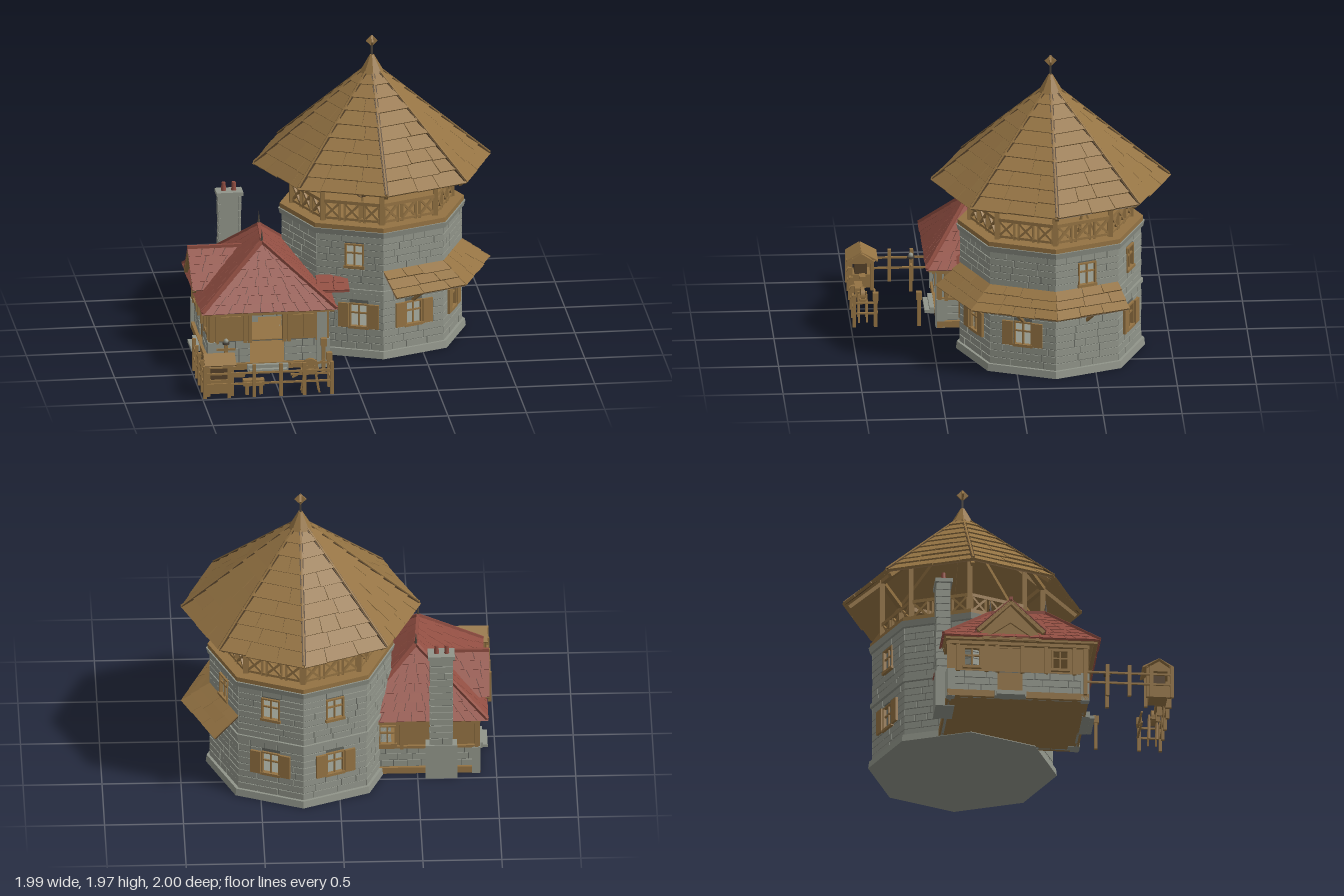
import * as THREE from 'three';
import { mergeGeometries } from 'three/addons/utils/BufferGeometryUtils.js';

const mat = (name, color) => Object.assign(new THREE.MeshStandardMaterial({ color }), { name });
const wood = mat('wood', 0x947343), darkWood = mat('dark wood', 0x56422a);
const stone = mat('stone', 0x91958a), mortar = mat('mortar', 0x62655e);
const tile = mat('red tile', 0x914e42), darkTile = mat('dark red tile', 0x55291f);
const iron = mat('iron', 0x48423a);

let seed = 7;
const rnd = (a = 0, b = 1) => { seed = (seed * 16807) % 2147483647; return a + (b - a) * seed / 2147483647; };
const V = (x, y, z) => new THREE.Vector3(x, y, z);
const mix = (a, b, t) => a.clone().lerp(b, t);

// Merge a list of geometries into one named mesh
function part(parent, name, material, geos) {
  const clean = geos.map(g => { const n = g.index ? g.toNonIndexed() : g; n.deleteAttribute('uv'); return n; });
  const mesh = new THREE.Mesh(mergeGeometries(clean), material);
  mesh.name = name;
  parent.add(mesh);
  return mesh;
}
const box = (x0, x1, y0, y1, z0, z1) =>
  new THREE.BoxGeometry(x1 - x0, y1 - y0, z1 - z0).translate((x0 + x1) / 2, (y0 + y1) / 2, (z0 + z1) / 2);
const upright = (p, w, y0, y1) => box(p.x - w / 2, p.x + w / 2, y0, y1, p.z - w / 2, p.z + w / 2);
// Square beam between two points
function beam(p, q, w = 0.02, d = w) {
  const m = new THREE.Object3D();
  m.position.copy(mix(p, q, 0.5)); m.lookAt(q); m.updateMatrix();
  return new THREE.BoxGeometry(w, d, p.distanceTo(q)).applyMatrix4(m.matrix);
}
const octagon = (rTop, rBottom, y0, y1) =>
  new THREE.CylinderGeometry(rTop, rBottom, y1 - y0, 8).toNonIndexed().translate(0, (y0 + y1) / 2, 0);
const flat = g => { g.computeVertexNormals(); return g; };
function quads(list) {
  const g = new THREE.BufferGeometry().setFromPoints(list.flatMap(([a, b, c, d]) => [a, b, c, a, c, d]));
  return flat(g);
}

// Roof slope: eave a-b, top c-d, overlapping courses of boards over a dark layer, wooden lining below
function slope(parent, name, top, under, [a, b, c, d], rows, width, lift) {
  const n = b.clone().sub(a).cross(mix(c, d, 0.5).sub(a)).normalize();
  const up = (p, h) => p.clone().addScaledVector(n, h);
  const boards = [];
  for (let r = 0; r < rows; r++) {
    const t0 = r / rows, t1 = Math.min(1, (r + 1.1) / rows);
    const len = mix(a, d, t0).distanceTo(mix(b, c, t0)), gap = 0.004 / len;
    for (let u = 0; u < 0.999;) {
      let e = u + rnd(0.65, 1.35) * width / len;
      if (e > 1 - 0.4 * width / len) e = 1;
      const at = (s, t) => mix(mix(a, d, t), mix(b, c, t), s);
      const low = t0 - rnd(0, 0.1) / rows, h = lift * rnd(0.85, 1.15), end = e === 1 ? 1 : e - gap;
      const [A, B, C, D] = [at(u, low), at(end, low), at(end, t1), at(u, t1)];
      const [A2, B2, C2, D2] = [up(A, h), up(B, h), up(C, 0.003), up(D, 0.003)];
      boards.push([A2, B2, C2, D2], [A, B, B2, A2], [B, C, C2, B2], [D, A, A2, D2], [D, C, B, A]);
      u = e;
    }
  }
  part(parent, name, top, [quads(boards)]);
  part(parent, name + ' underlay', under, [quads([[a, b, c, d].map(p => up(p, -0.008))])]);
  part(parent, name + ' lining', wood, [quads([[d, c, b, a].map(p => up(p, -0.01))])]);
}

// Flat wall in its own frame (outside faces local +z) with openings [x0, x1, y0, y1]
function panel(parent, name, material, x0, x1, y0, y1, holes) {
  const s = new THREE.Shape([[x0, y0], [x1, y0], [x1, y1], [x0, y1]].map(p => new THREE.Vector2(...p)));
  for (const [a, b, c, d] of holes)
    s.holes.push(new THREE.Path([[a, c], [a, d], [b, d], [b, c]].map(p => new THREE.Vector2(...p))));
  return part(parent, name, material, [new THREE.ShapeGeometry(s)]);
}
// Rows of irregular stones that stop at the openings
function masonry(parent, x0, x1, y0, y1, holes, rowHeight = 0.046) {
  const rows = Math.round((y1 - y0) / rowHeight), h = (y1 - y0) / rows, list = [];
  for (let r = 0; r < rows; r++) {
    const lo = y0 + r * h, hi = lo + h;
    const cut = holes.filter(k => k[2] < hi - 0.01 && k[3] > lo + 0.01).sort((p, q) => p[0] - q[0]);
    const starts = [x0, ...cut.map(k => k[1])], ends = [...cut.map(k => k[0]), x1];
    starts.forEach((s, i) => {
      for (let x = s; x < ends[i] - 0.005;) {
        let e = x + rnd(0.07, 0.18);
        if (e > ends[i] - 0.04) e = ends[i];
        list.push(box(x, e === ends[i] ? e : e - 0.005, lo, hi - 0.005, -0.01, rnd(0.004, 0.008)));
        x = e;
      }
    });
  }
  part(parent, 'wall stones', stone, list);
}
// Frame, glazing bars and optional shutters round an opening
function windowFrame(parent, [x0, x1, y0, y1], shutters) {
  const t = 0.01, cx = (x0 + x1) / 2, cy = y0 + (y1 - y0) * 0.6, list = [
    box(x0, x0 + t, y0, y1, -0.01, 0.014), box(x1 - t, x1, y0, y1, -0.01, 0.014),
    box(x0 - 0.005, x1 + 0.005, y0 - 0.008, y0 + t, -0.01, 0.02), box(x0, x1, y1 - t, y1, -0.01, 0.014),
    box(cx - 0.005, cx + 0.005, y0, y1, -0.005, 0.006), box(x0, x1, cy - 0.005, cy + 0.005, -0.005, 0.006)];
  if (shutters) for (const s of [-1, 1]) {
    const c = cx + s * ((x1 - x0) / 2 + 0.037);
    list.push(box(c - 0.034, c + 0.034, y0, y1, 0.008, 0.024));
  }
  part(parent, 'window', wood, list);
}
function frame(parent, name, x, z, angle) {
  const g = new THREE.Group();
  g.name = name; g.position.set(x, 0, z); g.rotation.y = angle;
  parent.add(g);
  return g;
}

function buildTower(root) {
  const tower = frame(root, 'tower', 0.235, -0.24, 0);
  const P = (i, r, y) => V(r * Math.sin(i * Math.PI / 4), y, r * Math.cos(i * Math.PI / 4));
  const R = 0.568, half = R * Math.sin(Math.PI / 8), apo = R * Math.cos(Math.PI / 8), corner = half + 0.003;
  part(tower, 'stone courses', stone, [octagon(0.594, 0.6, 0.008, 0.055), octagon(0.588, 0.588, 0.43, 0.455),
    octagon(0.598, 0.588, 0.81, 0.848)].map(flat));
  part(tower, 'deck', wood, [flat(octagon(0.588, 0.588, 0.848, 0.878))]);
  const lower = { 0: 0, 1: 0, 3: 0, 4: 0, 7: 0.06 }, upper = { 2: 0, 3: 0, 4: 0, 7: 0.03 };
  for (let i = 0; i < 8; i++) {
    const angle = (i + 0.5) * Math.PI / 4, s = Math.sin(angle), c = Math.cos(angle), holes = [];
    const wall = frame(tower, 'tower wall', apo * s, apo * c, angle);
    if (i in lower) holes.push([lower[i] - 0.062, lower[i] + 0.062, 0.2, 0.36]);
    if (i in upper) holes.push([upper[i] - 0.062, upper[i] + 0.062, 0.6, 0.755]);
    panel(wall, 'mortar', mortar, -half, half, 0.05, 0.82, holes);
    masonry(wall, -corner, corner, 0.055, 0.43, holes);
    masonry(wall, -corner, corner, 0.455, 0.81, holes);
    holes.forEach(h => windowFrame(wall, h, h[2] < 0.5));

    // Railing bay with crossed laths
    const a = P(i, 0.51, 0), b = P(i + 1, 0.51, 0), at = (u, y) => mix(a, b, u).setY(y), rail = [];
    rail.push(beam(at(0, 1.008), at(1, 1.008), 0.022), beam(at(0, 0.897), at(1, 0.897), 0.016));
    rail.push(beam(at(0, 1.31), at(1, 1.31), 0.03), upright(a, 0.03, 0.87, 1.33));
    for (let k = 0; k < 3; k++) {
      const u = k / 3 + 0.04, v = u + 0.253;
      rail.push(beam(at(u, 0.9), at(v, 1.0), 0.014), beam(at(v, 0.9), at(u, 1.0), 0.014));
      rail.push(upright(at(u, 0), 0.015, 0.88, 1.01), upright(at(v, 0), 0.015, 0.88, 1.01));
    }
    // Rafter and hip board on a dark strip
    rail.push(beam(P(i, 0.1, 1.65), P(i, 0.72, 1.125), 0.024), beam(P(i, 0.06, 1.742), P(i, 0.752, 1.157), 0.01, 0.02));
    part(tower, 'railing and roof frame', wood, rail);
    part(tower, 'hip strip', darkWood, [beam(P(i, 0.06, 1.737), P(i, 0.748, 1.154), 0.024, 0.016)]);
    slope(tower, 'tower roof boards', wood, darkWood, [P(i, 0.748, 1.145), P(i + 1, 0.748, 1.145),
      P(i + 1, 0.05, 1.748), P(i, 0.05, 1.748)], 9, 0.19, 0.014);
  }
  part(tower, 'roof cap', wood, [flat(octagon(0.014, 0.085, 1.72, 1.845))]);
  part(tower, 'finial rod', iron, [box(-0.006, 0.006, 1.83, 1.91, -0.006, 0.006)]);
  const plate = () => new THREE.BoxGeometry(0.053, 0.053, 0.012).rotateZ(Math.PI / 4);
  part(tower, 'finial', wood, [plate(), plate().rotateY(Math.PI / 2)].map(g => g.translate(0, 1.937, 0)));

  // Skirt roof over three sides, square cut at both ends
  const off = (i, p, d) => p.add(V(d * Math.sin((i + 0.5) * Math.PI / 4), 0, d * Math.cos((i + 0.5) * Math.PI / 4)));
  for (let i = 0; i < 3; i++) {
    const a = i === 0 ? off(0, P(0, R, 0.455), 0.168) : P(i, 0.748, 0.455);
    const b = i === 2 ? off(2, P(3, R, 0.455), 0.168) : P(i + 1, 0.748, 0.455);
    slope(tower, 'skirt roof boards', wood, darkWood, [a, b, P(i + 1, R, 0.586), P(i, R, 0.586)], 3, 0.15, 0.013);
    const foot = mix(P(i, R, 0.36), P(i + 1, R, 0.36), 0.5);
    part(tower, 'skirt roof strut', wood, [beam(foot, off(i, foot.clone().setY(0.455), 0.13), 0.018)]);
  }

  // Instruments on the deck
  part(root, 'spyglass', darkWood, [beam(V(0.49, 1.03, -0.375), V(0.55, 1.075, -0.44), 0.02),
    beam(V(0.54, 1.068, -0.43), V(0.595, 1.11, -0.5), 0.028)]);
  part(root, 'spyglass stand', wood, [[0.5, -0.4], [0.58, -0.4], [0.54, -0.51]].map(([x, z]) =>
    beam(V(0.535, 1.05, -0.43), V(x, 0.87, z), 0.012)));
  const ring = () => new THREE.TorusGeometry(0.042, 0.003, 5, 20);
  part(root, 'armillary rings', darkWood, [ring(), ring().rotateY(Math.PI / 2), box(-0.002, 0.002, -0.05, 0.05, -0.002, 0.002),
    box(-0.05, 0.05, -0.002, 0.002, -0.002, 0.002), box(-0.002, 0.002, -0.002, 0.002, -0.05, 0.05),
    new THREE.SphereGeometry(0.008, 8, 6)].map(g => g.translate(0.128, 1.06, 0.12)));
  part(root, 'armillary stand', wood, [upright(V(0.128, 0, 0.12), 0.014, 0.87, 1.015)]);
}

function buildHouse(root) {
  const house = frame(root, 'house', 0, 0, 0);
  part(house, 'floor', wood, [box(-0.9, -0.12, 0.012, 0.055, -0.44, 0.46)]);
  // Walls: [name, x, z, angle, half width, door, window centres, open windows]
  const rows = [['front wall', -0.51, 0.44, 0, 0.365, [-0.12, 0.1], [-0.24, 0.22], false],
    ['side wall', -0.875, 0.01, -Math.PI / 2, 0.43, [-0.13, 0.03], [-0.29, 0.27], true],
    ['back wall', -0.51, -0.42, Math.PI, 0.365, null, [-0.2], true],
    ['inner wall', -0.145, 0.31, Math.PI / 2, 0.13, null, [0], false]];
  for (const [name, x, z, angle, w, door, wins, open] of rows) {
    const g = frame(house, name, x, z, angle);
    const spots = wins.map(c => [c - 0.055, c + 0.055, 0.22, 0.36]), holes = open ? spots : [];
    const gap = door ? [[...door, 0.055, 0.195]] : [], tall = door ? [[...door, 0.205, 0.365]] : [];
    panel(g, 'plinth mortar', mortar, -w, w, 0.01, 0.2, gap);
    masonry(g, -w, w, 0.012, 0.2, gap);
    panel(g, 'timber wall', wood, -w, w, 0.2, 0.4, [...holes, ...tall]);
    const bars = [box(-w - 0.01, w + 0.01, 0.375, 0.4, -0.02, 0.025)];
    if (!door) bars.push(box(-w, w, 0.195, 0.212, -0.01, 0.018));
    const posts = [-w, w, ...wins.flatMap(c => [c - 0.09, c + 0.09]), ...(door || [])];
    posts.forEach(p => bars.push(box(p - 0.012, p + 0.012, 0.19, 0.4, -0.015, 0.02)));
    if (!open) for (const c of wins) for (const s of [-0.034, 0.034])
      bars.push(box(c + s - 0.031, c + s + 0.031, 0.215, 0.365, 0, 0.012));
    part(g, 'timber frame', wood, bars);
    part(g, 'corner stones', stone, [-w, w].map(p => box(p - 0.025, p + 0.025, 0.01, 0.2, -0.03, 0.02)));
    holes.forEach(h => windowFrame(g, h, false));
    if (door) part(g, 'doorstep', stone, [box(door[0] - 0.02, door[1] + 0.02, 0.01, 0.05, 0, 0.05),
      box(door[0] - 0.01, door[1] + 0.01, 0.008, 0.028, 0.05, 0.08)]);
    if (name === 'side wall') part(g, 'door', wood, [box(...door, 0.055, 0.365, -0.02, -0.005)]);
  }
  part(house, 'corner pillar', stone, [box(-0.205, -0.14, 0.01, 0.385, 0.39, 0.467)]);
  part(house, 'eave boards', wood, [box(-0.925, -0.1, 0.396, 0.41, 0.49, 0.512), box(-0.925, -0.9, 0.396, 0.41, -0.45, 0.5),
    box(-0.925, -0.12, 0.396, 0.41, -0.45, -0.43), box(-0.122, -0.1, 0.396, 0.41, 0.2, 0.5)]);

  // Hipped roof
  const E = (x, z) => V(x, 0.414, z);
  const FL = E(-0.942, 0.525), FR = E(-0.085, 0.525), BR = E(-0.085, -0.468), BL = E(-0.942, -0.468);
  const F = V(-0.525, 0.775, 0.22), B = V(-0.5, 0.775, -0.13);
  for (const c of [[FL, FR, F, F], [BL, FL, F, B], [FR, BR, B, F], [BR, BL, B, B]])
    slope(house, 'house roof tiles', tile, darkTile, c, 8, 0.085, 0.006);
  // Cross gable over the side door
  const top0 = V(-0.967, 0.667, -0.04), top1 = V(-0.61, 0.667, -0.04);
  const eave = z => [V(-0.962, 0.46, z), V(-0.85, 0.46, z)];
  slope(house, 'gable roof tiles', tile, darkTile, [...eave(0.18), top1, top0], 5, 0.09, 0.006);
  slope(house, 'gable roof tiles', tile, darkTile, [...eave(-0.26).reverse(), top0, top1], 5, 0.09, 0.006);
  part(house, 'ridge tiles', tile, [[FL, F], [FR, F], [BL, B], [BR, B], [F, B], [top0, top1]].map(([p, q]) =>
    beam(p.clone().setY(p.y + 0.008), q.clone().setY(q.y + 0.008), 0.02)));
  const gable = new THREE.Shape([V(-0.2, 0.4), V(0.2, 0.4), V(0.19, 0.45), V(0, 0.65), V(-0.19, 0.45)]);
  part(house, 'gable wall', wood, [new THREE.ShapeGeometry(gable).rotateY(-Math.PI / 2).translate(-0.9, 0, -0.04)]);
  part(house, 'gable truss', wood, [-1, 1].flatMap(s => [beam(V(-0.95, 0.445, -0.04 + s * 0.21), V(-0.95, 0.65, -0.04), 0.024),
    beam(V(-0.92, 0.41, -0.04 + s * 0.17), V(-0.92, 0.53, -0.04), 0.016)])
    .concat(beam(V(-0.92, 0.41, -0.22), V(-0.92, 0.41, 0.14), 0.024)));
  // Small link roof against the tower
  slope(house, 'link roof tiles', tile, darkTile, [V(-0.18, 0.475, 0.33), V(0.02, 0.475, 0.33), V(0.02, 0.535, 0.2),
    V(-0.18, 0.535, 0.2)], 2, 0.1, 0.006);
  part(house, 'link roof edge', tile, [box(-0.18, 0.02, 0.458, 0.474, 0.2, 0.33)]);
  part(house, 'ridge spikes', iron, [F, B].map(p => new THREE.ConeGeometry(0.013, 0.11, 6).translate(p.x, 0.815, p.z)));

  // Chimney and hearth
  part(house, 'chimney', stone, [box(-0.715, -0.585, 0.2, 0.88, -0.485, -0.405), box(-0.735, -0.565, 0.88, 0.905, -0.5, -0.39),
    box(-0.75, -0.55, 0.008, 0.25, -0.5, -0.38), box(-0.73, -0.48, 0.055, 0.38, -0.4, -0.33)]);
  for (const [x, z, angle, w] of [[-0.65, -0.487, Math.PI, 0.067], [-0.717, -0.445, -Math.PI / 2, 0.042], [-0.583, -0.445, Math.PI / 2, 0.042]]) {
    const g = frame(house, 'chimney side', x, z, angle);
    panel(g, 'chimney mortar', mortar, -w, w, 0.25, 0.88, []);
    masonry(g, -w, w, 0.25, 0.88, [], 0.05);
  }
  part(house, 'chimney pots', tile, [-0.685, -0.62].map(x => new THREE.CylinderGeometry(0.013, 0.017, 0.06, 10).translate(x, 0.93, -0.445)));
}

function buildYard(root) {
  const yard = frame(root, 'yard', 0, 0, 0), list = [];
  const post = (x, z, h = 0.225) => list.push(upright(V(x, 0, z), 0.022, 0.01, h));
  [-0.985, -0.83, -0.67, -0.5, -0.35, -0.175].forEach(x => post(x, 0.98));
  [0.43, 0.57, 0.71, 0.85].forEach(z => post(-0.985, z));
  for (const y of [0.1, 0.17]) list.push(beam(V(-0.985, y, 0.98), V(-0.175, y, 0.98), 0.012),
    beam(V(-0.985, y, 0.43), V(-0.985, y, 0.98), 0.012), beam(V(-0.175, y, 0.84), V(-0.175, y, 0.98), 0.012),
    beam(V(-0.42, y, 0.84), V(-0.18, y, 0.835), 0.012));
  list.push(beam(V(-0.41, 0.08, 0.84), V(-0.2, 0.19, 0.84), 0.01));
  for (const z of [0.57, 0.845]) { post(-0.175, z, 0.24); list.push(upright(V(-0.175, 0, z), 0.036, 0.19, 0.24)); }
  part(yard, 'fence', wood, list);

  // Small open shelter with bench and trough
  const [r0, r1] = [V(-0.985, 0.282, 0.9), V(-0.785, 0.282, 0.9)];
  slope(yard, 'shelter roof', wood, wood, [V(-0.985, 0.222, 0.985), V(-0.785, 0.222, 0.985), r1, r0], 1, 1, 0.01);
  slope(yard, 'shelter roof', wood, wood, [V(-0.785, 0.222, 0.808), V(-0.985, 0.222, 0.808), r0, r1], 1, 1, 0.01);
  const legs = [-0.96, -0.81].flatMap(x => [0.83, 0.965].map(z => upright(V(x, 0, z), 0.022, 0.02, 0.235)));
  const end = new THREE.Shape([V(-0.07, 0.22), V(0.07, 0.22), V(0, 0.275)]);
  part(yard, 'shelter', wood, [...legs, box(-0.95, -0.82, 0.03, 0.12, 0.84, 0.955), box(-0.97, -0.8, 0.2, 0.235, 0.83, 0.965),
    new THREE.ExtrudeGeometry(end, { depth: 0.17, bevelEnabled: false }).rotateY(Math.PI / 2).translate(-0.97, 0, 0.9)]);
  part(yard, 'shelter inside', darkWood, [box(-0.94, -0.83, 0.12, 0.2, 0.86, 0.94)]);
  part(yard, 'bench', wood, [box(-0.79, -0.72, 0.12, 0.14, 0.875, 0.915), box(-0.735, -0.6, 0.07, 0.11, 0.9, 0.95),
    box(-0.72, -0.7, 0.01, 0.08, 0.91, 0.94), box(-0.63, -0.61, 0.01, 0.08, 0.91, 0.94)]);
  // Grinding wheel on a trestle
  part(yard, 'grinding wheel', wood, [new THREE.CylinderGeometry(0.05, 0.05, 0.025, 14).rotateX(Math.PI / 2).translate(-0.305, 0.18, 0.92),
    box(-0.365, -0.25, 0.15, 0.165, 0.9, 0.94), ...[-1, 1].flatMap(s => [0.895, 0.945].map(z =>
      beam(V(-0.305 + s * 0.025, 0.19, z), V(-0.305 + s * 0.055, 0.01, z), 0.012)))]);
  // Post with crossbar and cap
  part(yard, 'target post', wood, [upright(V(-0.8, 0, 0.585), 0.022, 0.01, 0.24), box(-0.86, -0.74, 0.19, 0.202, 0.579, 0.591)]);
  part(yard, 'target cap', stone, [new THREE.SphereGeometry(0.016, 10, 8).translate(-0.8, 0.252, 0.585)]);
  part(yard, 'target collar', iron, [new THREE.CylinderGeometry(0.023, 0.023, 0.012, 12).translate(-0.8, 0.238, 0.585)]);
}

export function createModel() {
  const root = new THREE.Group();
  root.name = 'watchtower with house';
  buildTower(root);
  buildHouse(root);
  buildYard(root);
  return root;
}
